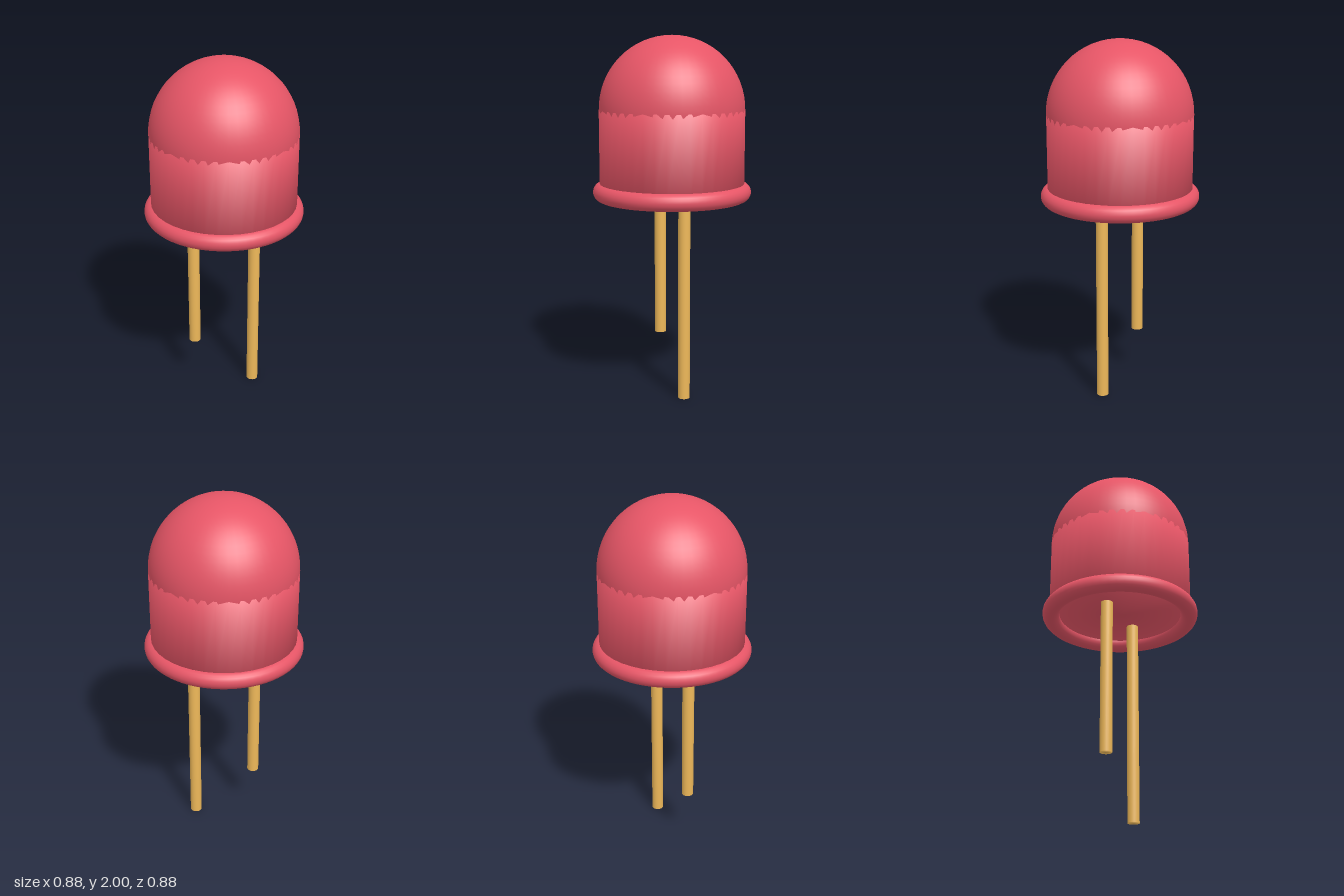
import * as THREE from 'three';
import { mergeVertices } from 'three/addons/utils/BufferGeometryUtils.js';

const red = new THREE.MeshStandardMaterial({ color: 0xe65566 });
const gold = new THREE.MeshStandardMaterial({ color: 0xeeb859 });

function addPart(group, name, geometry, material, x, y) {
  const mesh = new THREE.Mesh(geometry, material);
  mesh.name = name;
  mesh.position.set(x, y, 0);
  group.add(mesh);
}

// Closed cylinder whose shading runs smoothly over the rims
function softCylinder(radius, height, sides) {
  const geometry = new THREE.CylinderGeometry(radius, radius, height, sides);
  geometry.deleteAttribute('uv');
  geometry.deleteAttribute('normal');
  const merged = mergeVertices(geometry);
  merged.computeVertexNormals();
  return merged;
}

export function createModel() {
  const group = new THREE.Group();
  group.name = 'lightBulb';

  // Lens: round dome on a straight body
  addPart(group, 'dome', new THREE.SphereGeometry(0.4, 48, 32), red, 0, 1.6);
  const bottom = 1.15, top = 1.6;
  addPart(group, 'body', softCylinder(0.4, top - bottom, 40), red, 0, (bottom + top) / 2);

  // Rounded rim around the base
  const rim = new THREE.TorusGeometry(0.39, 0.048, 20, 64).rotateX(Math.PI / 2);
  addPart(group, 'baseRim', rim, red, 0, 1.148);

  // Two wire legs of different length
  for (const [name, x, foot] of [['shortLeg', -0.172, 0.29], ['longLeg', 0.17, 0]]) {
    const head = 1.18;
    addPart(group, name, softCylinder(0.033, head - foot, 24), gold, x, (head + foot) / 2);
  }
  return group;
}
